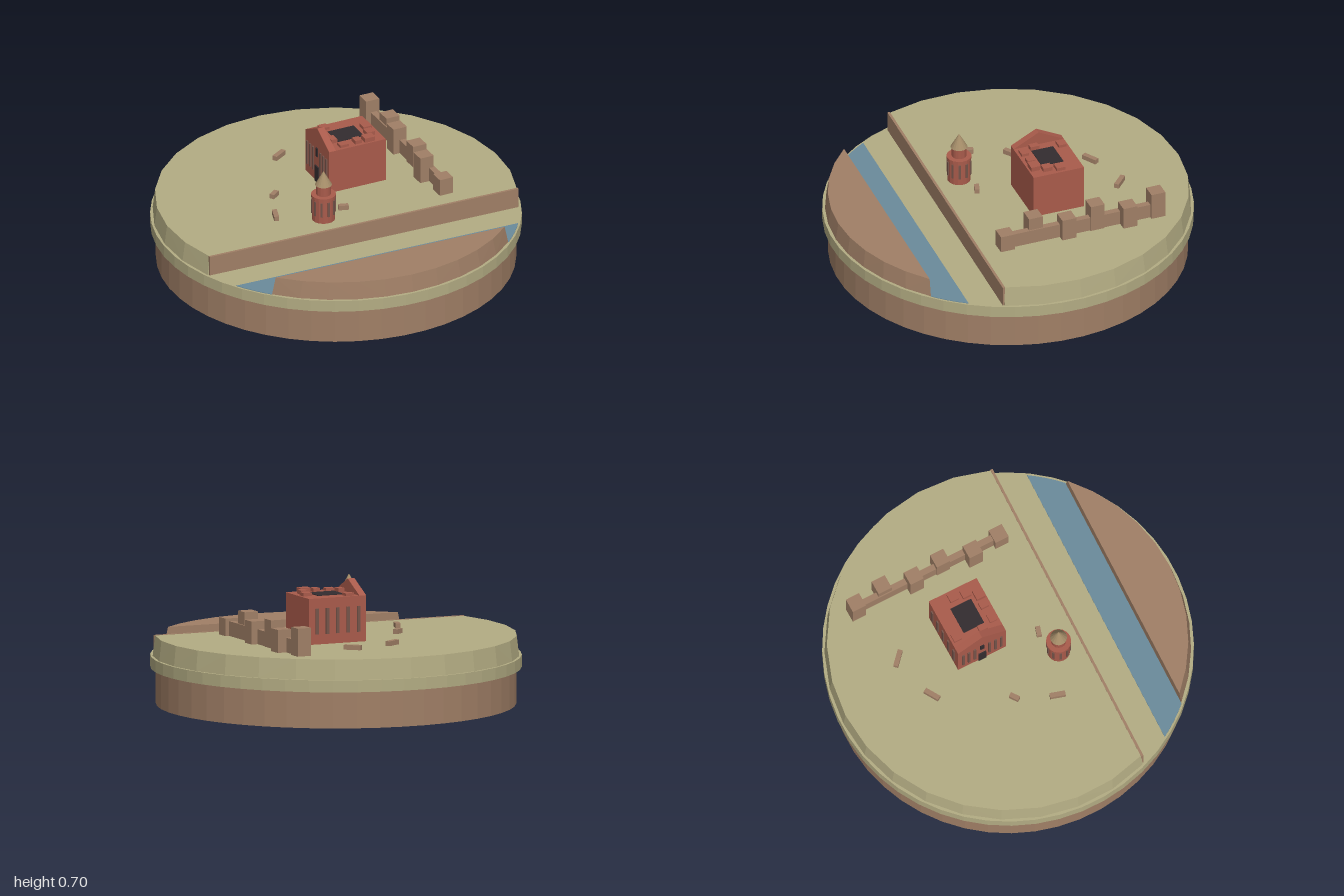
import * as THREE from 'three';
import { ConvexGeometry } from 'three/addons/geometries/ConvexGeometry.js';

const mat = (name, color, extra = {}) => Object.assign(new THREE.MeshStandardMaterial({ color, ...extra }), { name });

export function createModel() {
  const grass = mat('grass', 0xb3ac83, { flatShading: true });
  const earth = mat('earth', 0xa07f66, { flatShading: true });
  const brick = mat('brick', 0xa95b4b, { flatShading: true });
  const slit = mat('slit', 0x75544a);
  const dark = mat('dark', 0x332c2f);
  const water = mat('water', 0x6b8b9b);
  const spireTan = mat('spire', 0xa48c68, { flatShading: true });

  const model = new THREE.Group();
  model.name = 'riversideRuin';
  const GROUND = 0.375, LOW = 0.265;

  function add(parent, name, geometry, material, x = 0, y = 0, z = 0, ry = 0) {
    const m = new THREE.Mesh(geometry, material);
    m.name = name;
    m.position.set(x, y, z);
    m.rotation.y = ry;
    parent.add(m);
    return m;
  }
  // box standing on height y
  const block = (parent, name, material, w, h, d, x, y, z, ry = 0) =>
    add(parent, name, new THREE.BoxGeometry(w, h, d), material, x, y + h / 2, z, ry);

  // Round base and rim
  add(model, 'base', new THREE.CylinderGeometry(0.97, 0.97, 0.2, 48), earth, 0, 0.1, 0);
  add(model, 'rim', new THREE.CylinderGeometry(1, 1, LOW - 0.2, 48), grass, 0, (LOW + 0.2) / 2, 0);

  // Land frame: local x points across the river
  const land = new THREE.Group();
  land.name = 'land';
  land.rotation.y = -0.346;
  model.add(land);

  // Tapered disc slice, cut by the lines x = d given per arc
  function slice(arcs, r0, r1, y0, y1) {
    const pts = [];
    for (const [r, y] of [[r0, y0], [r1, y1]]) {
      for (const [dFrom, dTo, sign, n] of arcs) {
        const a = Math.acos(dFrom / r), b = sign === 0 ? -a : Math.acos(dTo / r);
        const end = sign === 2 ? 2 * Math.PI - a : b;
        for (let i = 0; i <= n; i++) {
          const t = a + (end - a) * i / n;
          pts.push(new THREE.Vector3(r * Math.cos(t), y, r * Math.sin(t)));
          if (sign === 1) pts.push(new THREE.Vector3(r * Math.cos(t), y, -r * Math.sin(t)));
        }
      }
    }
    return new ConvexGeometry(pts);
  }
  add(land, 'plateau', slice([[0.351, 0, 2, 18]], 0.988, 0.975, LOW, GROUND), grass);
  add(land, 'farBank', slice([[0.693, 0, 0, 10]], 0.985, 0.97, LOW, 0.363), earth);
  add(land, 'river', slice([[0.527, 0.693, 1, 4]], 0.988, 0.988, LOW - 0.002, LOW + 0.003), water);
  block(land, 'embankmentWall', earth, 0.014, GROUND + 0.002 - LOW, 1.83, 0.353, LOW, 0);

  // Ruined house
  const house = new THREE.Group();
  house.name = 'house';
  house.position.set(-0.118, GROUND, -0.19);
  house.rotation.y = -0.323;
  model.add(house);
  const W = 0.29, D = 0.34, H = 0.25;
  block(house, 'houseWalls', brick, W, H, D, 0, 0, 0);
  const tri = new THREE.Shape([[-W / 2, 0], [W / 2, 0], [0, 0.075]].map(p => new THREE.Vector2(...p)));
  add(house, 'gable', new THREE.ExtrudeGeometry(tri, { depth: 0.04, bevelEnabled: false }), brick, 0, H, D / 2 - 0.04);
  block(house, 'roofHole', dark, 0.125, 0.004, 0.155, 0, H, 0);
  block(house, 'door', dark, 0.045, 0.095, 0.009, 0, 0, D / 2 + 0.002);
  block(house, 'gableWindow', dark, 0.022, 0.05, 0.009, 0, 0.155, D / 2 + 0.002);
  for (const x of [0.045, 0.08, 0.115]) for (const s of [-1, 1])
    block(house, 'frontSlit', slit, 0.014, 0.14, 0.009, s * x, 0.055, D / 2 + 0.003);
  for (let i = -2; i <= 2; i++)
    block(house, 'sideSlit', slit, 0.009, 0.14, 0.018, -W / 2 - 0.003, 0.055, i * 0.062);
  // Broken stones left on the wall tops: x, z, width, depth, height
  for (const [x, z, w, d, h] of [
    [-0.02, -0.13, 0.05, 0.05, 0.018], [0.05, -0.115, 0.05, 0.045, 0.022], [0.11, -0.08, 0.05, 0.06, 0.025],
    [0.105, -0.015, 0.045, 0.04, 0.02], [0.11, 0.07, 0.04, 0.05, 0.015], [-0.11, 0.08, 0.045, 0.05, 0.015],
    [0.04, 0.1, 0.05, 0.035, 0.022]])
    block(house, 'roofStone', brick, w, h, d, x, H, z);

  // Round tower with a pointed cap
  const tower = new THREE.Group();
  tower.name = 'tower';
  tower.position.set(0.145, GROUND, 0.238);
  model.add(tower);
  const drum = (name, r, h, y, m = brick, top = r) =>
    add(tower, name, new THREE.CylinderGeometry(top, r, h, 16), m, 0, y + h / 2, 0);
  drum('towerBody', 0.063, 0.14, 0);
  drum('towerRim', 0.068, 0.014, 0.138);
  drum('towerTurret', 0.04, 0.06, 0.15);
  drum('towerSpire', 0.046, 0.082, 0.208, spireTan, 0);
  for (let i = 0; i < 10; i++) {
    const a = i * Math.PI / 5;
    block(tower, 'towerSlit', slit, 0.012, 0.085, 0.009, Math.sin(a) * 0.063, 0.04, Math.cos(a) * 0.063, a);
  }

  // Ruined defensive wall: x, z, height of each tower
  const A = -0.314;
  block(model, 'curtainWall', earth, 0.84, 0.08, 0.035, -0.035, GROUND, -0.57, A);
  for (const [x, z, h] of [[-0.452, -0.7, 0.152], [-0.275, -0.678, 0.125], [-0.125, -0.583, 0.152],
    [0.052, -0.557, 0.125], [0.205, -0.46, 0.15], [0.38, -0.435, 0.095]])
    block(model, 'wallTower', earth, 0.08, h, 0.08, x, GROUND, z, A);

  // Scattered rubble: x, z, length, direction
  for (const [x, z, l, dx, dz] of [[-0.49, -0.35, 0.095, 0.09, -0.05], [-0.512, -0.075, 0.09, 0.02, 0.09],
    [-0.215, 0.255, 0.055, 0.015, 0.05], [-0.045, 0.413, 0.085, 0.07, 0.05], [0.145, 0.088, 0.055, 0.035, -0.05]])
    block(model, 'rubble', earth, l, 0.026, 0.027, x, GROUND, z, Math.atan2(-dz, dx));

  return model;
}
